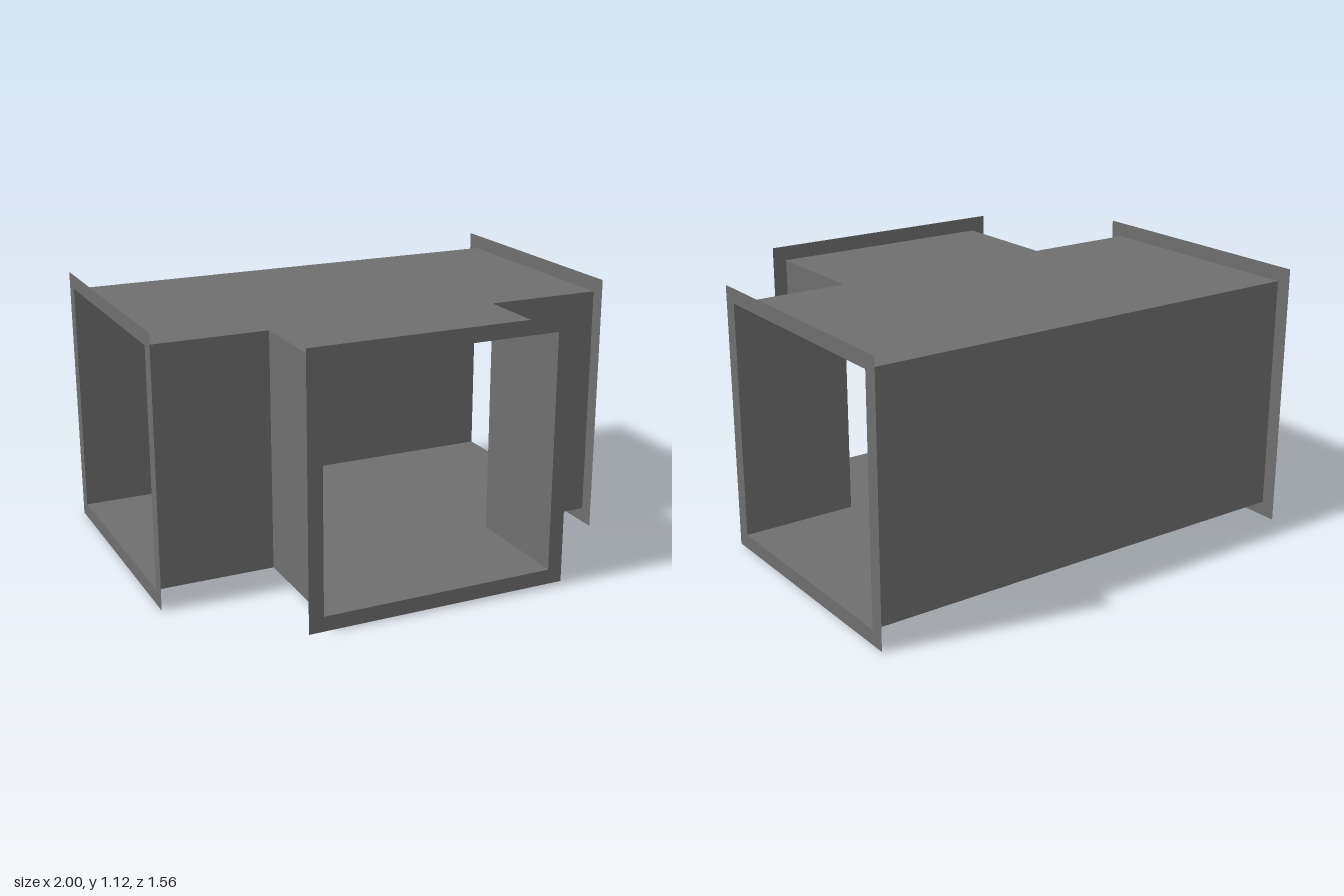
import * as THREE from 'three';

const SIZE = 1, LIP = 0.0625;              // duct opening and flange width
const BACK = -0.71875, FRONT = 0.28125, END = 0.78125;
const MID_Y = LIP + SIZE / 2;
const MID_Z = (BACK + FRONT) / 2;

// Thin dark sheet metal, seen from both sides
const metal = new THREE.MeshStandardMaterial({ color: 0x6f6f6f, side: THREE.DoubleSide, flatShading: true });

export function createModel() {
  const model = new THREE.Group();
  model.name = 'teeDuct';

  const add = (name, geometry, x, y, z, turnY = 0) => {
    const mesh = new THREE.Mesh(geometry, metal);
    mesh.name = name;
    mesh.position.set(x, y, z);
    mesh.rotation.y = turnY;
    model.add(mesh);
  };

  // T-shaped floor plan as [x, z]
  const plan = [
    [-1, BACK], [-1, FRONT], [-0.5, FRONT], [-0.5, END],
    [0.5, END], [0.5, FRONT], [1, FRONT], [1, BACK],
  ];

  // Top and bottom sheets
  const outline = new THREE.Shape(plan.map(([x, z]) => new THREE.Vector2(x, z)));
  const bottom = new THREE.ShapeGeometry(outline).rotateX(Math.PI / 2);
  const top = new THREE.ShapeGeometry(
    new THREE.Shape(plan.map(([x, z]) => new THREE.Vector2(x, -z)))
  ).rotateX(-Math.PI / 2);
  add('bottomSheet', bottom, 0, LIP, 0);
  add('topSheet', top, 0, LIP + SIZE, 0);

  // Upright walls along the plan edges, leaving the three ends open
  const walls = { rightFrontWall: 1, branchRightWall: 2, branchLeftWall: 4, leftFrontWall: 5, backWall: 7 };
  for (const [name, i] of Object.entries(walls)) {
    const [x0, z0] = plan[i], [x1, z1] = plan[(i + 1) % plan.length];
    const length = Math.hypot(x1 - x0, z1 - z0);
    add(name, new THREE.PlaneGeometry(length, SIZE),
      (x0 + x1) / 2, MID_Y, (z0 + z1) / 2, Math.atan2(z0 - z1, x1 - x0));
  }

  // Flat square flange around each open end
  const square = (PathType, h) => new PathType([[-h, -h], [h, -h], [h, h], [-h, h]]
    .map(([x, y]) => new THREE.Vector2(x, y)));
  const frame = square(THREE.Shape, SIZE / 2 + LIP);
  frame.holes.push(square(THREE.Path, SIZE / 2));
  const flange = new THREE.ShapeGeometry(frame);
  add('branchFlange', flange, 0, MID_Y, END);
  add('leftFlange', flange, 1, MID_Y, MID_Z, Math.PI / 2);
  add('rightFlange', flange, -1, MID_Y, MID_Z, -Math.PI / 2);

  return model;
}
